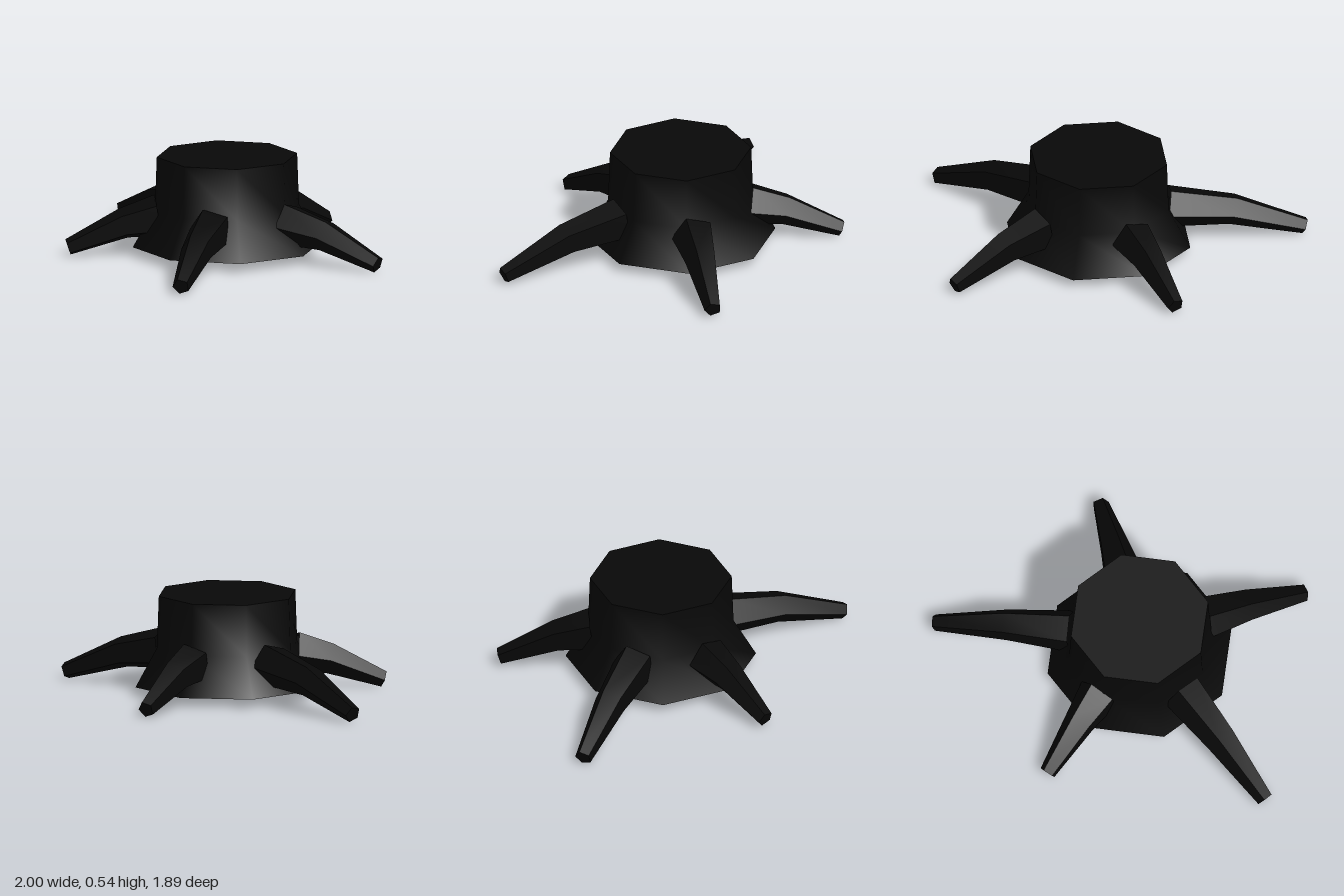
import * as THREE from 'three';
import { toCreasedNormals } from 'three/addons/utils/BufferGeometryUtils.js';

// Double-sided, as the trunk is open underneath and the roots open into it
const charcoal = new THREE.MeshStandardMaterial({ color: 0x080808, side: THREE.DoubleSide });
charcoal.name = 'charcoal bark';

const CENTRE = [0.04, -0.065];

// Five-sided root running out along +x: bent downwards, closed at the tip, open at the trunk
function rootGeometry(reach) {
  const rings = [ // tip centre, tip edge, bend, inner end at the trunk wall
    { out: reach, y: 0.044, radius: 0, tilt: 0.33 },
    { out: reach, y: 0.044, radius: 0.046, tilt: 0.33 },
    { out: reach * 0.65, y: 0.17, radius: 0.087, tilt: 0.27 },
    { out: 0.37, y: 0.21, radius: 0.118, tilt: 0.15 },
  ];
  const geometry = new THREE.CylinderGeometry(1, 1, 1, 5, 3, true, 0.05);
  const p = geometry.attributes.position;
  for (let i = 0; i < p.count; i++) {
    const ring = rings[Math.round((0.5 - p.getY(i)) * 3)];
    const up = -p.getX(i) * ring.radius;
    p.setXYZ(i,
      ring.out + up * Math.sin(ring.tilt),
      ring.y + up * Math.cos(ring.tilt),
      p.getZ(i) * ring.radius);
  }
  return toCreasedNormals(geometry, 1);
}

// Octagonal trunk, flared at the open base and cut flat on top
function trunkGeometry() {
  const profile = [[0.51, 0.05], [0.39, 0.26], [0.38, 0.54], [0, 0.54]];
  const points = profile.map(([x, y]) => new THREE.Vector2(x, y));
  return toCreasedNormals(new THREE.LatheGeometry(points, 8), 1);
}

export function createModel() {
  const stump = new THREE.Group();
  stump.name = 'treeStump';

  const add = (name, geometry) => {
    const mesh = new THREE.Mesh(geometry, charcoal);
    mesh.name = name;
    mesh.position.set(CENTRE[0], 0, CENTRE[1]);
    stump.add(mesh);
    return mesh;
  };

  add('trunk', trunkGeometry());

  // Root tips as seen from above: x, z
  const roots = {
    leftRoot: [0.98, -0.157],
    backRoot: [0.053, -0.93],
    rightBackRoot: [-0.98, -0.505],
    rightFrontRoot: [-0.615, 0.48],
    frontRoot: [0.473, 0.925],
  };
  for (const [name, tip] of Object.entries(roots)) {
    const dx = tip[0] - CENTRE[0], dz = tip[1] - CENTRE[1];
    add(name, rootGeometry(Math.hypot(dx, dz))).rotation.y = Math.atan2(-dz, dx);
  }
  return stump;
}
